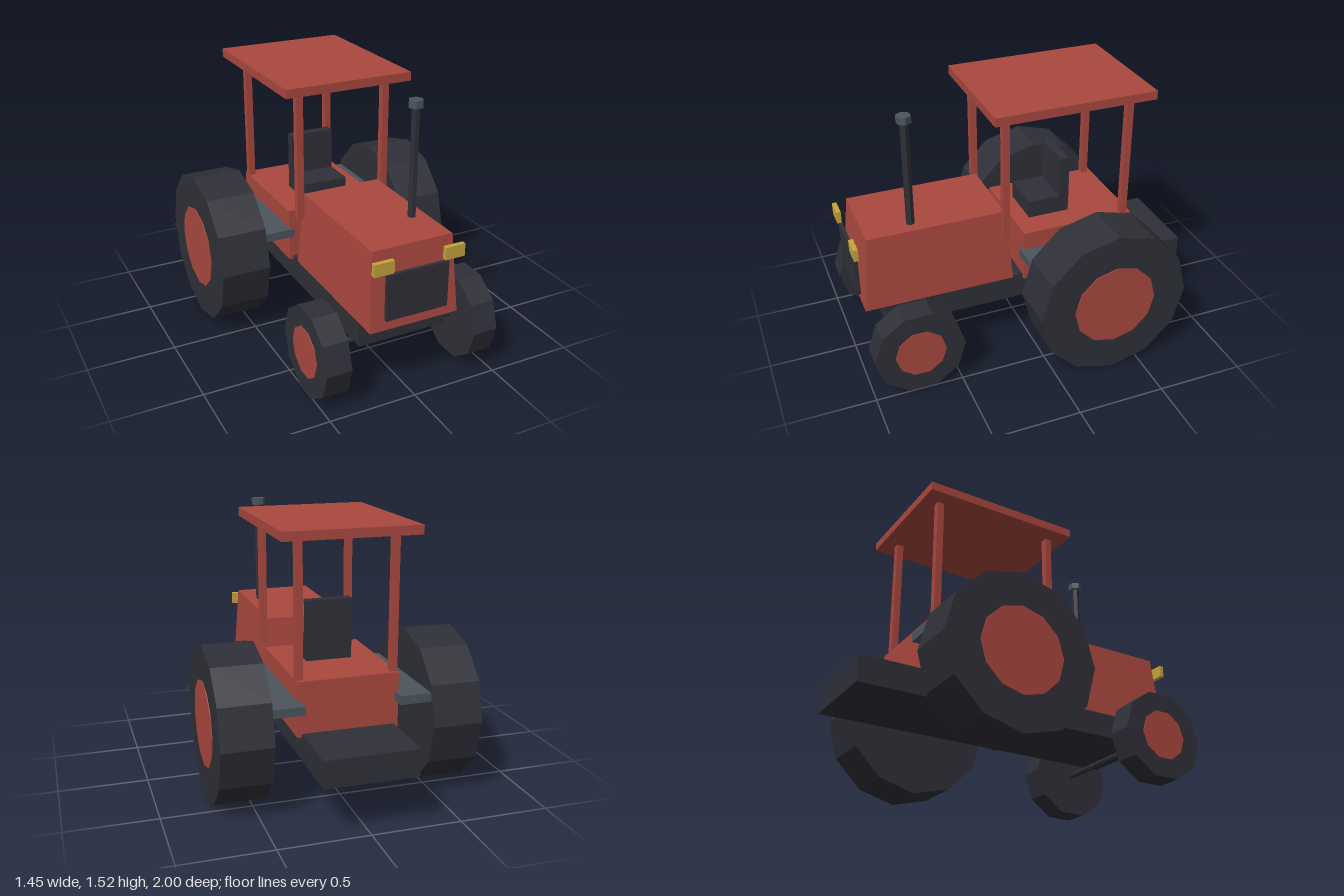
import * as THREE from 'three';

export function createModel() {
  const model = new THREE.Group();
  model.name = 'tractor';

  const paint = (name, color) => {
    const m = new THREE.MeshStandardMaterial({ color, flatShading: true });
    m.name = name;
    return m;
  };
  const red = paint('red paint', 0xaa483e);
  const dark = paint('dark rubber and iron', 0x2f2f38);
  const slate = paint('slate metal', 0x4b545d);
  const yellow = paint('lamp yellow', 0xc7a43b);

  const add = (name, geometry, material) => {
    const mesh = new THREE.Mesh(geometry, material);
    mesh.name = name;
    model.add(mesh);
    return mesh;
  };
  // Box given by its limits on each axis
  const box = (name, material, [x0, x1], [y0, y1], [z0, z1]) => {
    const g = new THREE.BoxGeometry(x1 - x0, y1 - y0, z1 - z0);
    g.translate((x0 + x1) / 2, (y0 + y1) / 2, (z0 + z1) / 2);
    return add(name, g, material);
  };
  // Cylinder lying along x between two limits
  const disc = (name, material, radius, sides, xa, xb, y, z) => {
    const g = new THREE.CylinderGeometry(radius, radius, Math.abs(xb - xa), sides);
    g.rotateZ(Math.PI / 2);
    g.translate((xa + xb) / 2, y, z);
    return add(name, g, material);
  };
  // Upright six-sided pipe with corners towards the sides
  const pipe = (name, material, radius, y0, y1, x, z) => {
    const g = new THREE.CylinderGeometry(radius, radius, y1 - y0, 6);
    g.rotateY(Math.PI / 6);
    g.translate(x, (y0 + y1) / 2, z);
    return add(name, g, material);
  };

  // Chassis and body
  box('chassis', dark, [-0.258, 0.258], [0.29, 0.44], [-1, 0.85]);
  box('cabBody', red, [-0.282, 0.282], [0.42, 0.728], [-0.63, 0.037]);

  // Hood: a box narrowed towards the top
  const hood = new THREE.BoxGeometry(0.518, 0.44, 0.87);
  const p = hood.attributes.position;
  for (let i = 0; i < p.count; i++) {
    if (p.getY(i) > 0) {
      p.setX(i, p.getX(i) * 0.905);
      p.setZ(i, p.getZ(i) * 0.9);
    }
  }
  hood.translate(0, 0.65, 0.53);
  hood.computeVertexNormals();
  add('hood', hood, red);
  box('grille', dark, [-0.18, 0.18], [0.495, 0.755], [0.967, 0.988]);

  // Exhaust
  pipe('exhaustPipe', dark, 0.024, 0.85, 1.48, 0.153, 0.655);
  pipe('exhaustCap', slate, 0.042, 1.475, 1.515, 0.153, 0.655);

  // Seat
  box('seatCushion', dark, [-0.13, 0.13], [0.72, 0.83], [-0.3, -0.055]);
  box('seatBack', dark, [-0.13, 0.13], [0.8, 1.07], [-0.301, -0.246]);

  // Roof and front axle
  box('roof', red, [-0.375, 0.375], [1.47, 1.52], [-0.69, 0.24]);
  disc('frontAxle', dark, 0.018, 8, -0.4, 0.4, 0.262, 0.733);

  // Parts repeated on both sides
  for (const s of [1, -1]) {
    const side = s > 0 ? 'left' : 'right';
    const span = (a, b) => (s > 0 ? [a, b] : [-b, -a]);

    box(side + 'Headlight', yellow, span(0.148, 0.262), [0.77, 0.84], [0.974, 1]);
    box(side + 'Fender', slate, span(0.26, 0.56), [0.574, 0.622], [-0.715, 0.057]);
    box(side + 'FrontPost', red, span(0.243, 0.283), [0.727, 1.48], [0.123, 0.163]);
    box(side + 'RearPost', red, span(0.243, 0.283), [0.727, 1.48], [-0.605, -0.565]);

    disc(side + 'RearTyre', dark, 0.439, 12, s * 0.437, s * 0.72, 0.44, -0.327);
    disc(side + 'RearHub', red, 0.243, 12, s * 0.6, s * 0.725, 0.44, -0.327);
    disc(side + 'FrontTyre', dark, 0.257, 10, s * 0.369, s * 0.512, 0.262, 0.733);
    disc(side + 'FrontHub', red, 0.144, 10, s * 0.45, s * 0.517, 0.262, 0.733);
  }

  return model;
}
